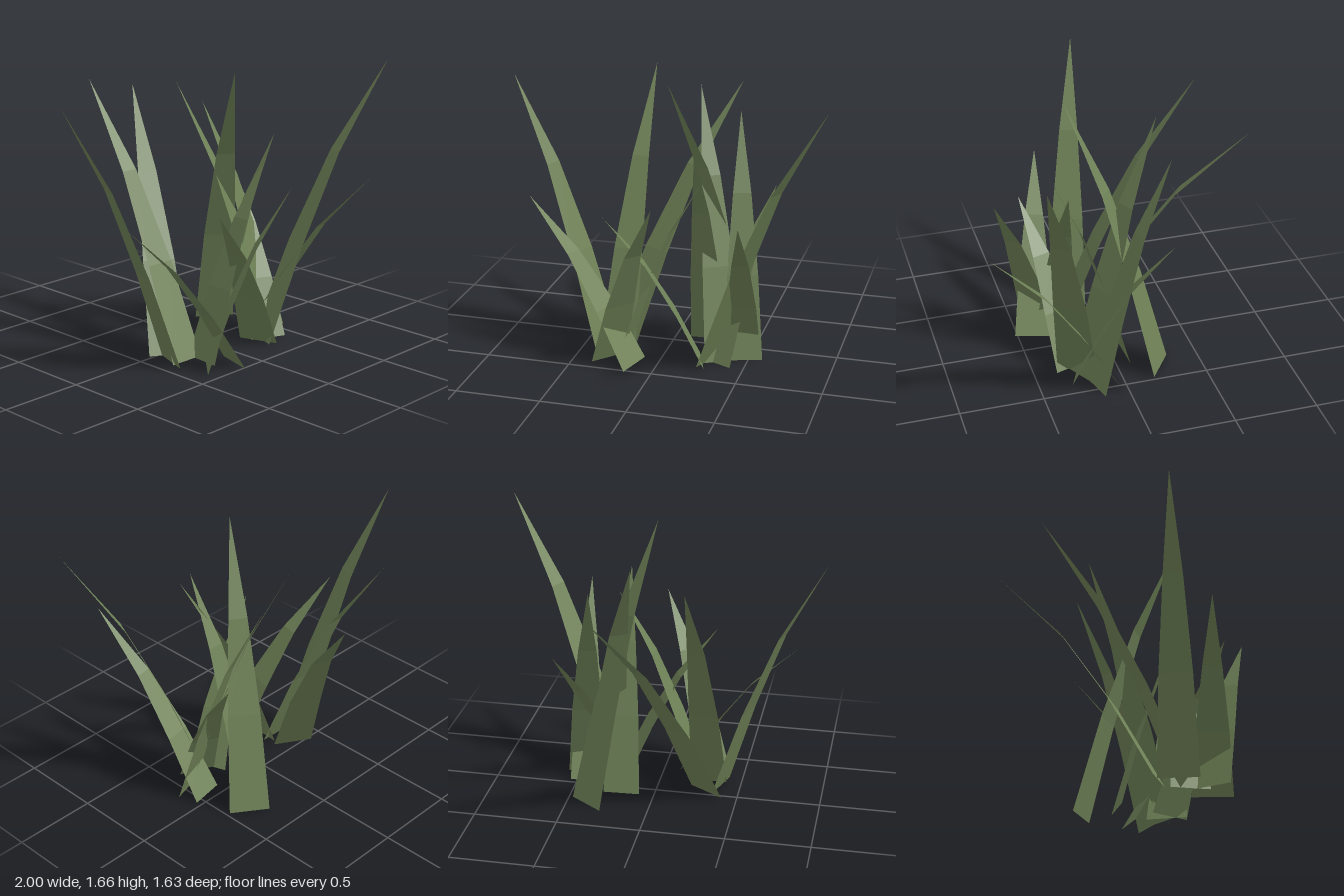
import * as THREE from 'three';

// Blade profile from root to tip: [height, outward reach, width] as fractions
const PROFILE = [
  [0, 0, 1],
  [0.35, 0.27, 0.8],
  [0.68, 0.58, 0.47],
  [1, 1, 0],
];

// One flat, bent blade: root centre (x, z), tip (x, y, z), root width
function bladeGeometry([rx, rz], [tx, ty, tz], width) {
  const dx = tx - rx, dz = tz - rz;
  const len = Math.hypot(dx, dz);
  const sx = -dz / len * width / 2, sz = dx / len * width / 2;
  const pos = [], index = [];
  for (const [h, r, w] of PROFILE) {
    const x = rx + dx * r, y = ty * h, z = rz + dz * r;
    if (w > 0) pos.push(x + sx * w, y, z + sz * w, x - sx * w, y, z - sz * w);
    else pos.push(x, y, z);
  }
  for (let i = 0; i < PROFILE.length - 1; i++) {
    const a = i * 2;
    index.push(a, a + 2, a + 1);
    if (PROFILE[i + 1][2] > 0) index.push(a + 1, a + 2, a + 3);
  }
  const geo = new THREE.BufferGeometry();
  geo.setAttribute('position', new THREE.Float32BufferAttribute(pos, 3));
  geo.setIndex(index);
  const flat = geo.toNonIndexed();
  flat.computeVertexNormals();
  return flat;
}

// Each blade: root, tip, width
const TUFTS = {
  rightTuft: [
    [[-0.38, 0.13], [-1.0, 1.57, -0.08], 0.24],
    [[-0.30, 0.18], [-0.28, 1.55, -0.65], 0.22],
    [[-0.305, 0.04], [0.23, 1.43, -0.82], 0.24],
    [[-0.13, 0.40], [-0.82, 0.92, 0.21], 0.24],
    [[-0.30, 0.34], [0.05, 1.06, 0.66], 0.24],
    [[-0.24, 0.24], [0.28, 1.18, 0.28], 0.23],
  ],
  leftTuft: [
    [[0.44, 0.05], [0.57, 1.05, 0.81], 0.21],
    [[0.28, 0.24], [1.0, 1.66, 0.58], 0.24],
    [[0.38, -0.25], [0.03, 1.66, 0.24], 0.24],
    [[0.37, 0.22], [0.09, 1.53, -0.29], 0.24],
    [[0.47, 0.18], [0.33, 1.38, -0.31], 0.23],
    [[0.24, 0.25], [-0.30, 0.91, 0.44], 0.24],
    [[0.20, -0.08], [0.22, 1.31, 0.38], 0.22],
    [[0.32, 0.26], [0.56, 0.95, -0.27], 0.22],
  ],
};

export function createModel() {
  const model = new THREE.Group();
  model.name = 'grass';
  const grassGreen = new THREE.MeshStandardMaterial({
    color: 0x6f8257, side: THREE.DoubleSide, flatShading: true,
  });
  grassGreen.name = 'grass green';

  for (const [name, blades] of Object.entries(TUFTS)) {
    const tuft = new THREE.Group();
    tuft.name = name;
    blades.forEach(([root, tip, width], i) => {
      const blade = new THREE.Mesh(bladeGeometry(root, tip, width), grassGreen);
      blade.name = `blade${i + 1}`;
      tuft.add(blade);
    });
    model.add(tuft);
  }
  return model;
}
